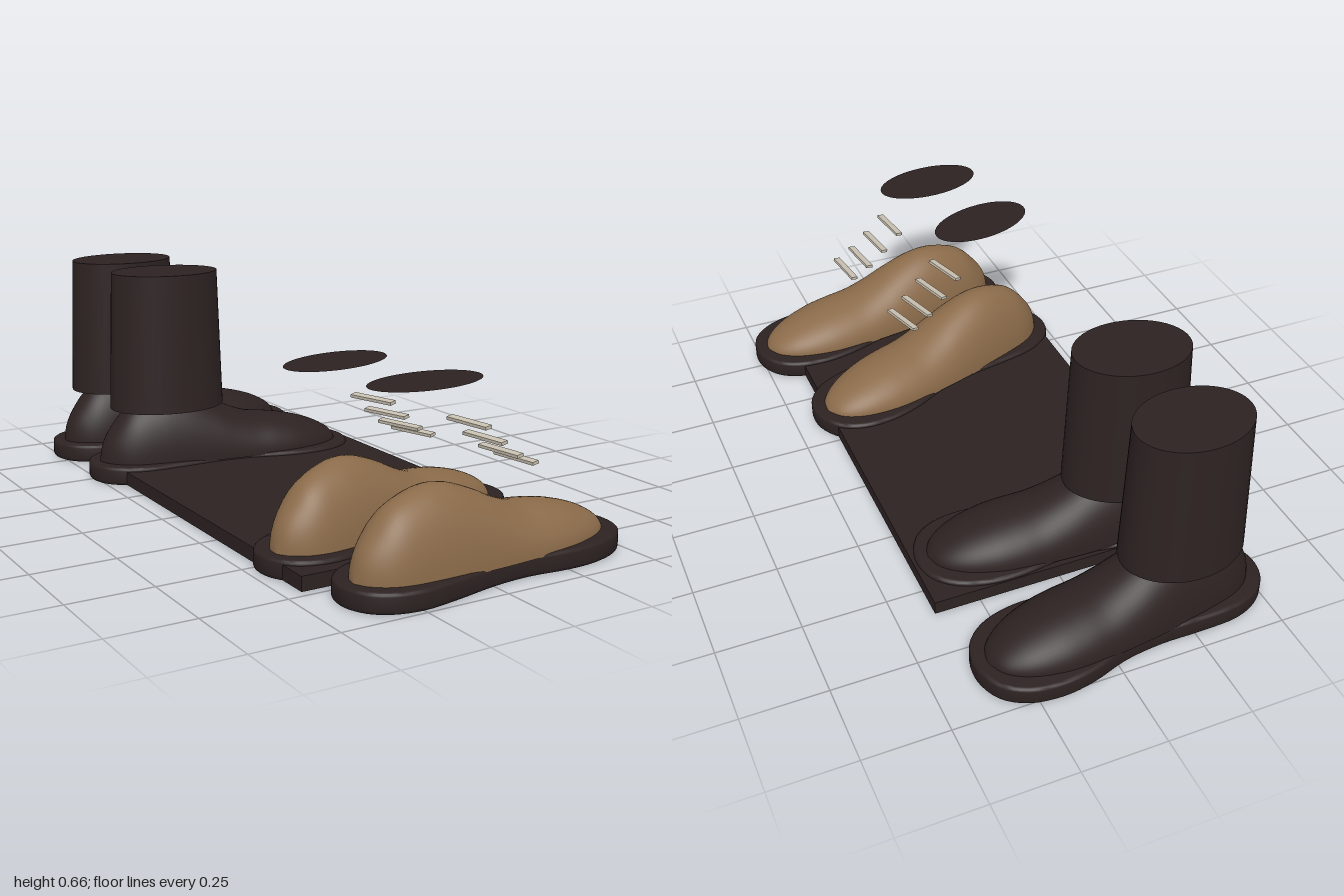
import * as THREE from 'three';
import { toCreasedNormals } from 'three/addons/utils/BufferGeometryUtils.js';

const material = (name, color) => new THREE.MeshStandardMaterial({ name, color });

// Sole: rounded outline, narrow at the waist, with a soft bevelled edge
function soleGeometry() {
  const bevel = 0.01;
  const side = [
    [-0.45, 0.07], [-0.40, 0.115], [-0.32, 0.14], [-0.2, 0.137], [-0.06, 0.125], [0.06, 0.13],
    [0.18, 0.155], [0.28, 0.16], [0.38, 0.137], [0.445, 0.085],
  ];
  const outline = [[-0.47, 0], ...side, [0.47, 0], ...side.map(([x, w]) => [x, -w]).reverse()];
  const curve = new THREE.CatmullRomCurve3(outline.map(([x, w]) => new THREE.Vector3(x, w, 0)), true);
  const shape = new THREE.Shape(curve.getPoints(88).slice(0, -1).map(p => new THREE.Vector2(p.x, p.y)));
  const geo = new THREE.ExtrudeGeometry(shape, {
    depth: 0.057 - 2 * bevel, bevelEnabled: true, bevelThickness: bevel,
    bevelSize: bevel, bevelOffset: -bevel, bevelSegments: 3,
  });
  geo.translate(0, 0, bevel).rotateX(-Math.PI / 2);
  return toCreasedNormals(geo, 0.7);
}

// Upper: half-ellipse sections lofted from heel to toe (x, height, half width)
function upperGeometry() {
  const base = 0.05, steps = 64, arc = 28;
  const profile = new THREE.CatmullRomCurve3([
    [-0.437, 0, 0], [-0.42, 0.07, 0.04], [-0.382, 0.127, 0.076], [-0.326, 0.183, 0.1],
    [-0.242, 0.216, 0.114], [-0.186, 0.222, 0.12], [-0.13, 0.214, 0.125], [-0.046, 0.183, 0.131],
    [0.024, 0.15, 0.134], [0.094, 0.125, 0.136], [0.17, 0.114, 0.137], [0.25, 0.1, 0.13],
    [0.347, 0.07, 0.102], [0.41, 0.035, 0.058], [0.437, 0, 0],
  ].map(p => new THREE.Vector3(...p)));
  const pos = [], index = [];
  for (let i = 0; i <= steps; i++) {
    const p = profile.getPoint(i / steps);
    for (let j = 0; j <= arc; j++) {
      const t = Math.PI * j / arc;
      pos.push(p.x, base + p.y * Math.sin(t), p.z * Math.cos(t));
      if (i < steps && j < arc) {
        const a = i * (arc + 1) + j, b = a + arc + 1;
        index.push(a, b, a + 1, b, b + 1, a + 1);
      }
    }
  }
  const geo = new THREE.BufferGeometry();
  geo.setAttribute('position', new THREE.Float32BufferAttribute(pos, 3));
  geo.setIndex(index);
  geo.computeVertexNormals();
  return geo;
}

export function createModel() {
  const dark = material('darkLeather', 0x2d2222);
  const tan = material('tanLeather', 0x8b6b4a);
  const laceMat = material('paleLace', 0xc8c0b0);
  const opening = material('darkLining', 0x2d2222);
  opening.side = THREE.DoubleSide;

  const model = new THREE.Group();
  model.name = 'footwearDisplay';
  const add = (parent, name, geo, mat, x = 0, y = 0, z = 0) => {
    const mesh = new THREE.Mesh(geo, mat);
    mesh.name = name;
    mesh.position.set(x, y, z);
    parent.add(mesh);
    return mesh;
  };

  // Mat under the shoes
  add(model, 'mat', new THREE.BoxGeometry(0.84, 0.042, 1.33), dark, -0.03, 0.024, 0.065);

  const sole = soleGeometry();
  const upper = upperGeometry();
  const footwear = (name, mat, x, z, degrees) => {
    const group = new THREE.Group();
    group.name = name;
    group.position.set(x, 0, z);
    group.rotation.y = THREE.MathUtils.degToRad(degrees);
    add(group, 'sole', sole, dark);
    add(group, 'upper', upper, mat);
    model.add(group);
    return group;
  };

  // Tan shoes, with floating laces and an oval opening
  const lace = new THREE.BoxGeometry(0.022, 0.009, 0.145);
  const oval = new THREE.CircleGeometry(1, 48).rotateX(-Math.PI / 2).scale(0.175, 1, 0.098);
  for (const [name, x, z, turn] of [['nearShoe', 0.05, 0.815, 7], ['farShoe', -0.02, 0.46, 16]]) {
    const shoe = footwear(name, tan, x, z, turn);
    [0.41, 0.36, 0.316, 0.287].forEach((y, i) => {
      add(shoe, 'lace', lace, laceMat, -0.055 + i * 0.059, y, 0).rotation.z = 0.15;
    });
    add(shoe, 'opening', oval, opening, -0.208, 0.54, 0);
  }

  // Dark boots, mirrored, with oval shafts
  const shaft = new THREE.CylinderGeometry(0.173, 0.188, 0.44, 48).scale(1, 1, 0.756);
  for (const [name, z, turn] of [['nearBoot', -0.457, -5], ['farBoot', -0.833, 5]]) {
    const boot = footwear(name, dark, -0.07, z, turn);
    boot.scale.x = 0.96;
    add(boot, 'shaft', shaft, dark, -0.195, 0.443, 0).scale.x = 1 / 0.96;
  }
  return model;
}
